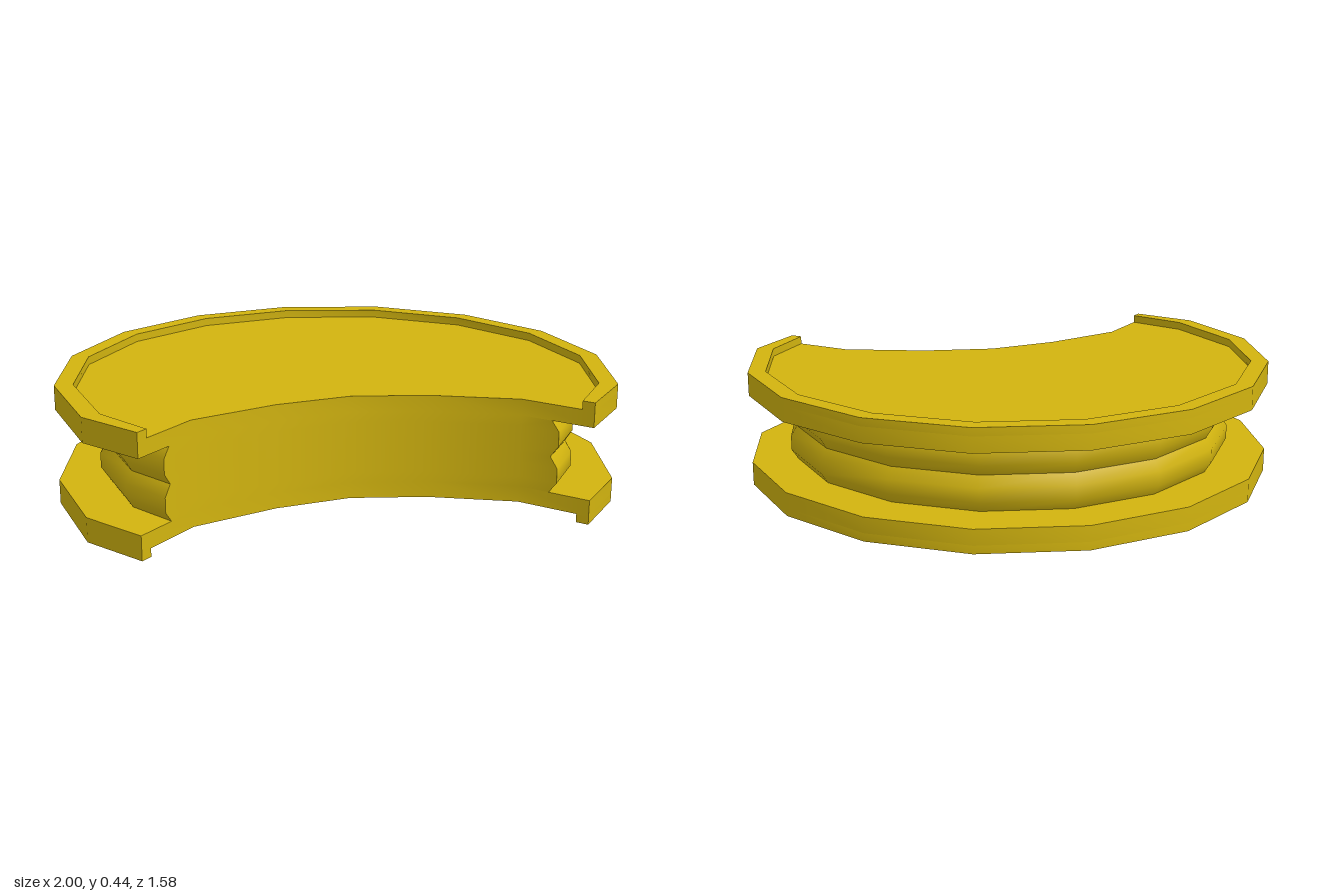
import * as THREE from 'three';
import { toCreasedNormals } from 'three/addons/utils/BufferGeometryUtils.js';

const CENTRE_Z = 0.207, HEIGHT = 0.436, FLANGE = 0.088, RECESS = 0.03, RIM_R = 0.934;
const CREASE = 0.95;

// Sixteen-sided arc round the back, ending at the two front horns; points are [x, z]
function outerArc(r) {
  const d = 1 - r;
  const x = 0.76 - 0.4 * d - 1.33 * d * d;
  const z = 0.6 + 0.97 * (x - 0.57);
  const pts = [[x, z]];
  for (let k = 1; k >= -9; k--) {
    const a = k * Math.PI / 8;
    pts.push([r * Math.cos(a), CENTRE_Z + r * Math.sin(a)]);
  }
  pts.push([-x, z]);
  return pts;
}

// Concave bite at the front
const bite = [[-0.57, 0.6], [-0.27, 0.49], [0, 0.445], [0.27, 0.49], [0.57, 0.6]];
const crescent = r => [...outerArc(r), ...bite];

// Flat plate with the given outline, between two heights
function plate(points, y0, y1) {
  const shape = new THREE.Shape(points.map(p => new THREE.Vector2(p[0], p[1])));
  const geo = new THREE.ExtrudeGeometry(shape, { depth: y1 - y0, bevelEnabled: false });
  geo.rotateX(Math.PI / 2).translate(0, y1, 0);
  return toCreasedNormals(geo, CREASE);
}

// Wall joining crescent sections given as [radius, y], bottom to top
function loft(levels) {
  const pos = [], idx = [];
  const n = crescent(1).length;
  for (const [r, y] of levels) for (const [x, z] of crescent(r)) pos.push(x, y, z);
  for (let j = 0; j < levels.length - 1; j++) {
    for (let i = 0; i < n; i++) {
      const a = j * n + i, b = j * n + (i + 1) % n;
      idx.push(a, b, b + n, a, b + n, a + n);
    }
  }
  const geo = new THREE.BufferGeometry();
  geo.setAttribute('position', new THREE.Float32BufferAttribute(pos, 3));
  geo.setIndex(idx);
  return toCreasedNormals(geo, CREASE);
}

export function createModel() {
  const model = new THREE.Group();
  model.name = 'crescentSpool';
  const gold = new THREE.MeshStandardMaterial({ color: 0xd2b40f });
  gold.name = 'gold';
  const add = (name, geo) => {
    const mesh = new THREE.Mesh(geo, gold);
    mesh.name = name;
    model.add(mesh);
  };

  // Flanges, each with a raised rim that stops at the horns
  const rim = [...outerArc(1), ...outerArc(RIM_R).reverse()];
  add('bottomFlange', plate(crescent(1), RECESS, FLANGE));
  add('bottomRim', plate(rim, 0, RECESS));
  add('topFlange', plate(crescent(1), HEIGHT - FLANGE, HEIGHT - RECESS));
  add('topRim', plate(rim, HEIGHT - RECESS, HEIGHT));

  // Hub with two soft ridges and a groove between them
  const half = [[0.828, FLANGE], [0.852, 0.125], [0.852, 0.178]];
  const mirrored = half.map(([r, y]) => [r, HEIGHT - y]).reverse();
  add('hub', loft([...half, [0.828, HEIGHT / 2], ...mirrored]));

  return model;
}
